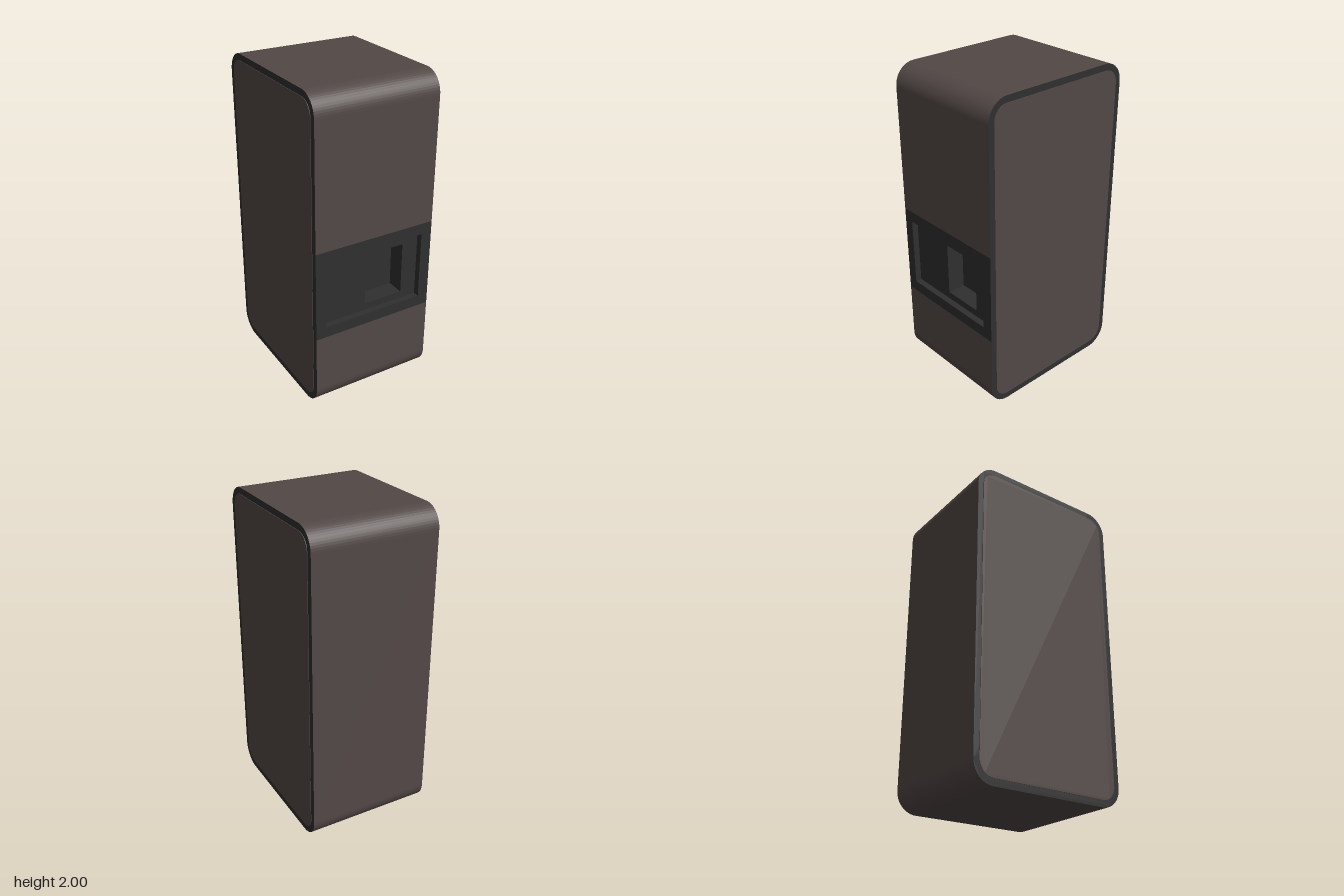
import * as THREE from 'three';

const W = 0.806, H = 2, D = 1.014; // overall width, height, depth
const PLATE = 0.003;
const Y0 = 0.5, Y1 = 1.08; // span of the front panel
const NOTCH = 0.2;

// Rounded rectangle in (z, y); an optional notch is cut in the front edge
function roundedProfile(z0, z1, y0, y1, r, notch = 0) {
  const s = new THREE.Shape();
  s.moveTo(z0 + r, y0);
  s.lineTo(z1 - r, y0);
  s.absarc(z1 - r, y0 + r, r, -Math.PI / 2, 0);
  if (notch) {
    s.lineTo(z1, Y0);
    s.lineTo(z1 - notch, Y0);
    s.lineTo(z1 - notch, Y1);
    s.lineTo(z1, Y1);
  }
  s.absarc(z1 - r, y1 - r, r, 0, Math.PI / 2);
  s.absarc(z0 + r, y1 - r, r, Math.PI / 2, Math.PI);
  s.absarc(z0 + r, y0 + r, r, Math.PI, Math.PI * 1.5);
  return s;
}

// Extrude a (z, y) profile across x, centred on cx
function extrudeX(shape, width, cx) {
  const g = new THREE.ExtrudeGeometry(shape, { depth: width, bevelEnabled: false, curveSegments: 7 });
  g.rotateY(-Math.PI / 2);
  g.translate(cx + width / 2, 0, 0);
  return g;
}

// Rectangular path from [x0, x1, y0, y1]
function rect(Type, [x0, x1, y0, y1]) {
  return new Type([[x0, y0], [x1, y0], [x1, y1], [x0, y1]].map(([x, y]) => new THREE.Vector2(x, y)));
}

export function createModel() {
  const model = new THREE.Group();
  model.name = 'cabinet';
  const brown = new THREE.MeshStandardMaterial({ color: 0x524846 });
  brown.name = 'warm brown';
  const dark = new THREE.MeshStandardMaterial({ color: 0x2f2f2f });
  dark.name = 'charcoal';

  const add = (name, geometry, material) => {
    const m = new THREE.Mesh(geometry, material);
    m.name = name;
    model.add(m);
  };

  // Wraparound casing with charcoal rims on its two ends
  const bodyW = W - 2 * PLATE;
  add('casing', extrudeX(roundedProfile(-D / 2, D / 2, 0, H, 0.13, NOTCH), bodyW, 0), [dark, brown]);

  // Side panels set inside the rims
  const side = roundedProfile(-D / 2 + 0.037, D / 2 - 0.037, 0.043, H - 0.04, 0.09);
  for (const s of [1, -1]) {
    add(s > 0 ? 'leftSidePanel' : 'rightSidePanel', extrudeX(side, PLATE, s * (bodyW + PLATE) / 2), brown);
  }

  // Front panel in stacked layers: frame, recess floor with pocket, pocket floor
  const outer = [-bodyW / 2, bodyW / 2, Y0, Y1];
  const layers = [
    ['frontFrame', 0.04, [-0.335, 0.33, 0.57, 1.01]],
    ['recessFloor', 0.115, [-0.04, 0.222, 0.615, 0.952]],
    ['pocketFloor', NOTCH - 0.155, null],
  ];
  let z = D / 2;
  for (const [name, depth, hole] of layers) {
    const shape = rect(THREE.Shape, outer);
    if (hole) shape.holes.push(rect(THREE.Path, hole));
    const g = new THREE.ExtrudeGeometry(shape, { depth, bevelEnabled: false });
    z -= depth;
    g.translate(0, 0, z);
    add(name, g, dark);
  }
  return model;
}
